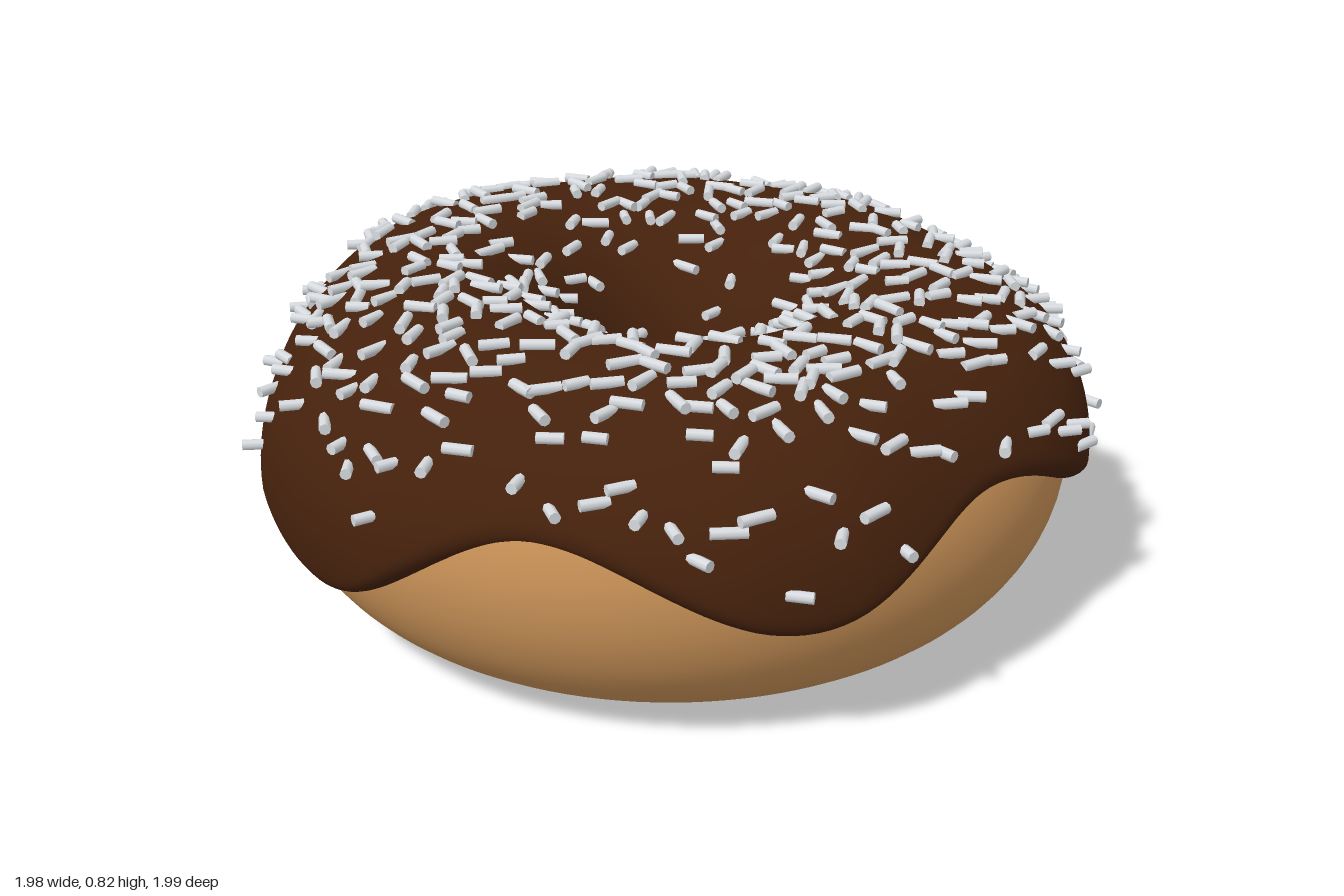
import * as THREE from 'three';
import { mergeGeometries } from 'three/addons/utils/BufferGeometryUtils.js';

const RING = 0.575, WIDE = 0.37, TALL = 0.375; // ring radius and half size of its cross-section
const RAD = Math.PI / 180;

// Height of the icing's outer edge at angles (degrees) round the ring, 0 = front, 90 = +x
const EDGE = [[-87, 0.25], [-54, 0.5], [-20, 0.31], [9, 0.5], [47, 0.3], [79, 0.48], [102, 0.37],
  [121, 0.45], [147, 0.37], [163, 0.48], [199, 0.36], [234, 0.51], [273, 0.25]];

function edgeHeight(a) {
  let d = a / RAD;
  while (d >= 273) d -= 360;
  while (d < -87) d += 360;
  const i = Math.max(1, EDGE.findIndex(e => e[0] > d));
  const [a0, y0] = EDGE[i - 1], [a1, y1] = EDGE[i];
  return y0 + (y1 - y0) * (1 - Math.cos(Math.PI * (d - a0) / (a1 - a0))) / 2;
}

// Point on the ring: a runs round the hole, p round the cross-section, t is the offset outward
function ringPoint(a, p, t) {
  const lift = 0.022 * Math.cos(a - 225 * RAD) * Math.max(0, Math.sin(p));
  const r = RING + (WIDE + t) * Math.cos(p);
  return [r * Math.sin(a), TALL + (TALL + t + lift) * Math.sin(p), r * Math.cos(a)];
}

// Icing thickness away from its rim; drips are fatter
function icingThickness(a, p) {
  const low = THREE.MathUtils.clamp((0.5 - edgeHeight(a)) / 0.17, 0, 1);
  return 0.025 + Math.max(0, Math.cos(p)) * (-0.012 + 0.037 * low);
}

// Smooth surface closed round the ring (and round the section if asked)
function ringSurface(nA, nP, closed, point) {
  const pos = [], index = [], rows = closed ? nP : nP + 1;
  for (let i = 0; i < nA; i++) {
    for (let j = 0; j < rows; j++) pos.push(...point(i / nA * Math.PI * 2, j / nP));
  }
  for (let i = 0; i < nA; i++) {
    for (let j = 0; j < nP; j++) {
      const k = (i + 1) % nA, l = (j + 1) % rows;
      const A = i * rows + j, B = k * rows + j, C = k * rows + l, D = i * rows + l;
      index.push(A, B, C, A, C, D);
    }
  }
  const g = new THREE.BufferGeometry();
  g.setAttribute('position', new THREE.Float32BufferAttribute(pos, 3));
  g.setIndex(index);
  g.computeVertexNormals();
  return g;
}

function icingPoint(a, u) {
  const outer = Math.asin((edgeHeight(a) - TALL) / 0.39);
  const innerY = 0.34 + 0.05 * Math.sin(3 * a + 1) + 0.02 * Math.sin(5 * a);
  const inner = Math.PI - Math.asin((innerY - TALL) / 0.39);
  const p = outer + (inner - outer) * (1 - Math.cos(Math.PI * u)) / 2;
  // Rounded rim that tucks into the dough
  const d = THREE.MathUtils.clamp(Math.min(p - outer, inner - p) * 0.39 / 0.05, 0, 1);
  const t = -0.015 + (icingThickness(a, p) + 0.015) * Math.sqrt(d * (2 - d));
  return ringPoint(a, p, t);
}

function seeded(seed) {
  return () => (seed = (seed * 16807) % 2147483647) / 2147483647;
}

// Level sprinkles scattered over the icing as seen from above
function sprinkleGeometry() {
  const rnd = seeded(4321), parts = [], placed = [];
  for (let tries = 0; placed.length < 500 && tries < 20000; tries++) {
    const x = rnd() * 2 - 1, z = rnd() * 2 - 1, r = Math.hypot(x, z);
    if (r < 0.2 || r > 0.98) continue;
    if (r < 0.32 && rnd() < 0.45) continue;
    if (placed.some(q => Math.hypot(q[0] - x, q[1] - z) < 0.04)) continue;
    const a = Math.atan2(x, z);
    const p = Math.acos(THREE.MathUtils.clamp((r - RING) / 0.4, -0.97, 1));
    const [px, py, pz] = ringPoint(a, p, icingThickness(a, p) + 0.006);
    if (r > RING && py < edgeHeight(a) + 0.07) continue;
    placed.push([x, z]);
    const g = new THREE.CylinderGeometry(0.0125, 0.0125, 0.05 + 0.025 * rnd(), 8);
    g.rotateZ(Math.PI / 2).rotateY(rnd() * Math.PI).translate(px, py, pz);
    parts.push(g);
  }
  return mergeGeometries(parts);
}

export function createModel() {
  const group = new THREE.Group();
  const add = (name, geometry, material) => {
    const mesh = new THREE.Mesh(geometry, material);
    mesh.name = name;
    group.add(mesh);
  };
  const material = (name, color) => {
    const m = new THREE.MeshStandardMaterial({ color });
    m.name = name;
    return m;
  };
  const dough = ringSurface(128, 64, true, (a, u) => ringPoint(a, u * Math.PI * 2, 0));
  add('dough', dough, material('golden dough', 0xcb9358));
  add('icing', ringSurface(240, 64, false, icingPoint), material('chocolate', 0x45210c));
  add('sprinkles', sprinkleGeometry(), material('sugar white', 0xd8dce0));
  return group;
}
